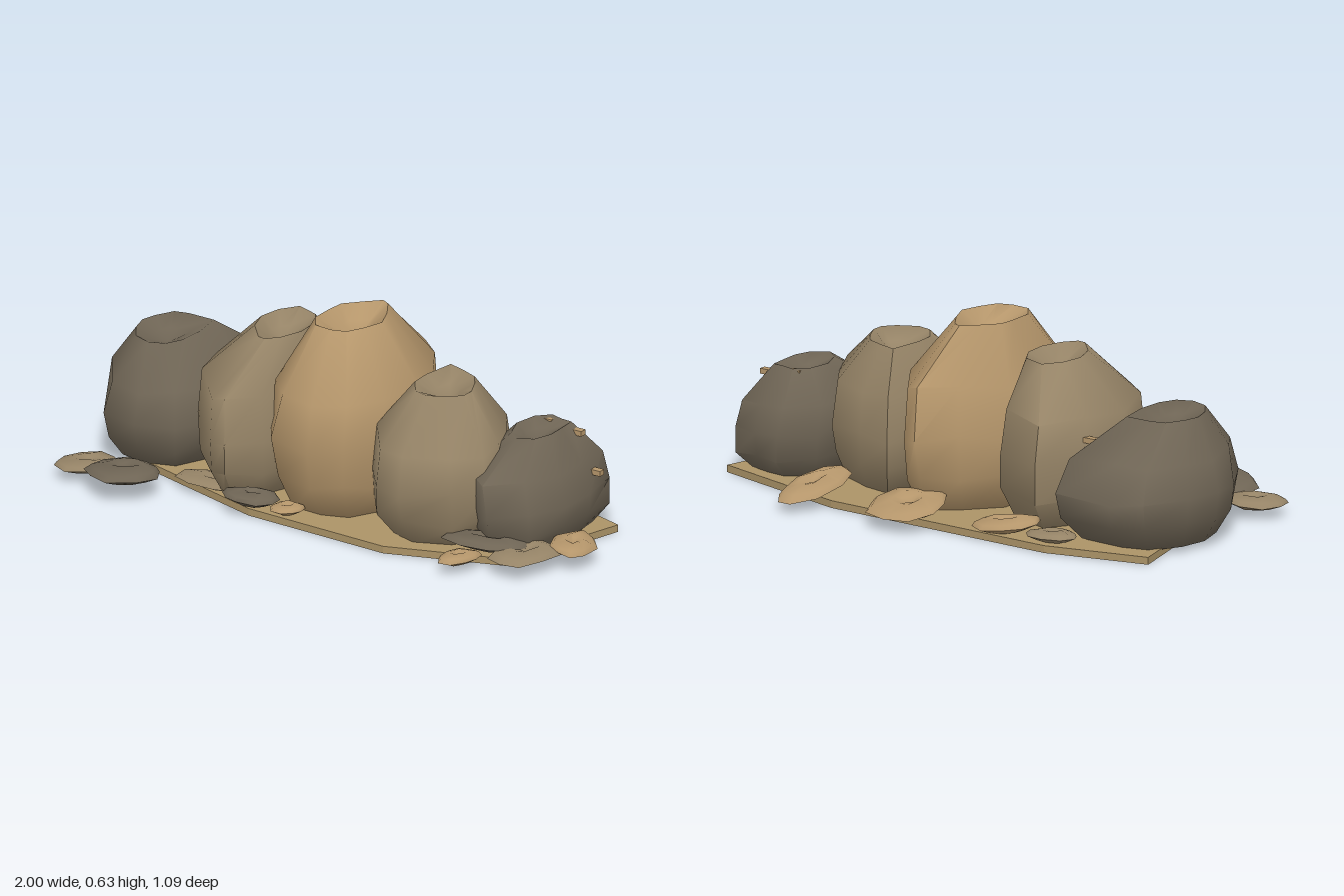
import * as THREE from 'three';
import { toCreasedNormals } from 'three/addons/utils/BufferGeometryUtils.js';

const TAN = 0xb5966b, MID = 0x968467, DARK = 0x6f6555;

function seeded(seed) {
  let s = seed * 7919 + 17;
  for (let i = 0; i < 5; i++) s = (s * 16807) % 2147483647;
  return () => (s = (s * 16807) % 2147483647) / 2147483647;
}

// rings [height, radius, dx, dz] from the underside, over the rim, down into the hollow
const boulderRings = ([wx, wz, wr], [rx, rz]) => [[0, 0, 0, 0], [0, 0.75, 0, 0], [0.2, 0.96, 0, 0], [0.42, 1, 0, 0],
  [0.7, wr, wx, wz], [1, 0.43, rx, rz], [0.93, 0.2, rx, rz], [0.87, 0, rx, rz]];
const STONE = [[0, 0], [0.05, 0.55], [0.45, 1], [0.75, 0.86], [1, 0.4], [0.85, 0.2], [0.65, 0]];

// closed lump of stacked rings, each a scaled copy of the plan outline
function lump(rings, outline, h, seed, rough) {
  const rnd = seeded(seed), n = outline.length;
  const pos = [], idx = [];
  rings.forEach(([t, r, dx = 0, dz = 0], k) => {
    outline.forEach(([x, z]) => {
      const f = r * (1 + (r < 0.3 ? 5 : 1) * rough * (rnd() - 0.5));
      const dy = k > 1 && k < 5 ? (rnd() - 0.5) * rough : 0;
      pos.push(x * f + dx, (t + dy) * h, z * f + dz);
    });
  });
  for (let k = 0; k < rings.length - 1; k++) {
    for (let i = 0; i < n; i++) {
      const a = k * n + i, b = k * n + (i + 1) % n;
      if (rings[k][1] > 0) idx.push(a, a + n, b);
      if (rings[k + 1][1] > 0) idx.push(b, a + n, b + n);
    }
  }
  const g = new THREE.BufferGeometry();
  g.setAttribute('position', new THREE.Float32BufferAttribute(pos, 3));
  g.setIndex(idx);
  return toCreasedNormals(g, 1.25);
}

// uneven oval plan for the small stones
function oval(rx, rz, seed) {
  const rnd = seeded(seed);
  return Array.from({ length: 9 }, (_, i) => {
    const a = (i / 9) * Math.PI * 2, f = 1.04 - 0.22 * rnd();
    return [Math.cos(a) * rx * f, Math.sin(a) * rz * f];
  });
}

export function createModel() {
  const model = new THREE.Group();
  model.name = 'rockRow';
  const add = (name, geo, color, x, y, z) => {
    const m = new THREE.Mesh(geo, new THREE.MeshStandardMaterial({ color }));
    m.name = name;
    m.position.set(x, y, z);
    model.add(m);
    return m;
  };

  // many-sided ground slab
  const plan = [[-0.915, -0.355], [-0.55, -0.435], [0.35, -0.385], [0.89, -0.22],
    [0.77, 0.24], [0.36, 0.38], [-0.2, 0.35], [-0.78, 0.17]];
  const slab = new THREE.ExtrudeGeometry(
    new THREE.Shape(plan.map(([x, z]) => new THREE.Vector2(x, -z))), { depth: 0.025, bevelEnabled: false });
  slab.rotateX(-Math.PI / 2);
  add('groundSlab', slab, 0xab9367, 0, 0, 0);

  // five boulders: centre x, z, top, shoulder shift and radius, rim shift, colour, plan outline
  [
    [-0.75, -0.05, 0.425, [0.01, 0.02, 0.87], [-0.02, 0.04], DARK, [[-0.97, -0.2], [-0.9, -0.36], [-0.78, -0.385],
      [-0.55, -0.37], [-0.49, -0.12], [-0.51, 0.1], [-0.57, 0.24], [-0.7, 0.285], [-0.85, 0.24], [-0.96, 0.08], [-1, -0.07]]],
    [-0.35, 0.02, 0.55, [-0.01, 0, 0.94], [0.05, -0.02], MID, [[-0.54, -0.19], [-0.44, -0.34], [-0.24, -0.26],
      [-0.15, -0.1], [-0.13, 0.1], [-0.19, 0.28], [-0.27, 0.39], [-0.34, 0.37], [-0.5, 0.2], [-0.57, 0]]],
    [0.03, -0.01, 0.635, [0.02, 0.02, 0.93], [-0.04, 0], TAN, [[-0.22, -0.15], [-0.1, -0.29], [0.01, -0.38], [0.08, -0.36],
      [0.19, -0.18], [0.26, 0], [0.22, 0.17], [0.15, 0.31], [0.03, 0.345], [-0.12, 0.33], [-0.22, 0.2], [-0.23, 0]]],
    [0.41, 0.04, 0.495, [0.01, 0.02, 0.92], [-0.03, -0.02], MID, [[0.2, -0.28], [0.34, -0.24], [0.5, -0.17], [0.58, -0.05],
      [0.65, 0.1], [0.65, 0.2], [0.58, 0.3], [0.42, 0.37], [0.3, 0.34], [0.18, 0.18], [0.16, 0]]],
    [0.69, -0.01, 0.38, [-0.02, 0, 0.95], [-0.01, -0.04], DARK, [[0.54, -0.2], [0.64, -0.295], [0.75, -0.27], [0.84, -0.25],
      [0.86, -0.1], [0.865, 0.05], [0.82, 0.2], [0.7, 0.275], [0.59, 0.2], [0.51, 0]]],
  ].forEach(([x, z, top, shoulder, rim, color, outline], i) => {
    const local = outline.map(([px, pz]) => [px - x, pz - z]);
    add('boulder' + (i + 1), lump(boulderRings(shoulder, rim), local, top - 0.02, i + 3, 0.06), color, x, 0.02, z);
  });

  // flat stones: x, base y, z, half width, thickness, half depth, turn, pitch, roll, colour
  [
    [-0.66, 0.04, 0.4, 0.145, 0.06, 0.145, 0, -0.1, 0.05, DARK],
    [-0.83, 0.025, 0.36, 0.12, 0.045, 0.095, 0.3, 0, 0.05, MID],
    [-0.35, 0.03, -0.37, 0.12, 0.05, 0.08, 0.6, -0.1, 0, TAN],
    [-0.54, 0.025, -0.37, 0.1, 0.04, 0.065, 0.2, 0, 0, MID],
    [0.02, 0.04, -0.4, 0.14, 0.055, 0.15, 0.1, -0.15, 0, TAN],
    [0.43, 0.035, -0.37, 0.085, 0.055, 0.185, -0.17, -0.17, 0, TAN],
    [0.92, 0.04, 0.09, 0.078, 0.045, 0.13, 0.4, 0, -0.1, TAN],
    [0.83, 0.03, 0.23, 0.1, 0.05, 0.14, -0.3, 0, 0, MID],
    [0.69, 0.045, 0.24, 0.17, 0.05, 0.09, 0.2, -0.05, 0, DARK],
    [0.65, 0.025, 0.36, 0.06, 0.04, 0.09, -0.5, 0, 0, TAN],
    [-0.2, 0.035, 0.33, 0.11, 0.05, 0.075, 0.5, 0, -0.08, DARK],
    [-0.4, 0.025, 0.24, 0.16, 0.035, 0.08, 0.1, 0, 0, MID],
    [-0.07, 0.025, 0.31, 0.06, 0.035, 0.06, 0, 0, 0, TAN],
  ].forEach(([x, y, z, rx, h, rz, turn, pitch, roll, color], i) => {
    const stone = add('flatStone' + (i + 1), lump(STONE, oval(rx, rz, i + 21), h, i + 41, 0.12), color, x, y, z);
    stone.rotation.set(pitch, turn, roll);
  });

  // small chips stuck in the boulders
  [[0.655, 0.365, -0.155, 0.04], [0.765, 0.35, -0.155, 0.06], [0.85, 0.225, -0.155, 0.04], [-0.54, 0.33, -0.18, 0.08]]
    .forEach(([x, y, z, w], i) =>
      add('chip' + (i + 1), new THREE.BoxGeometry(w, 0.018, 0.025), TAN, x, y, z));

  return model;
}
